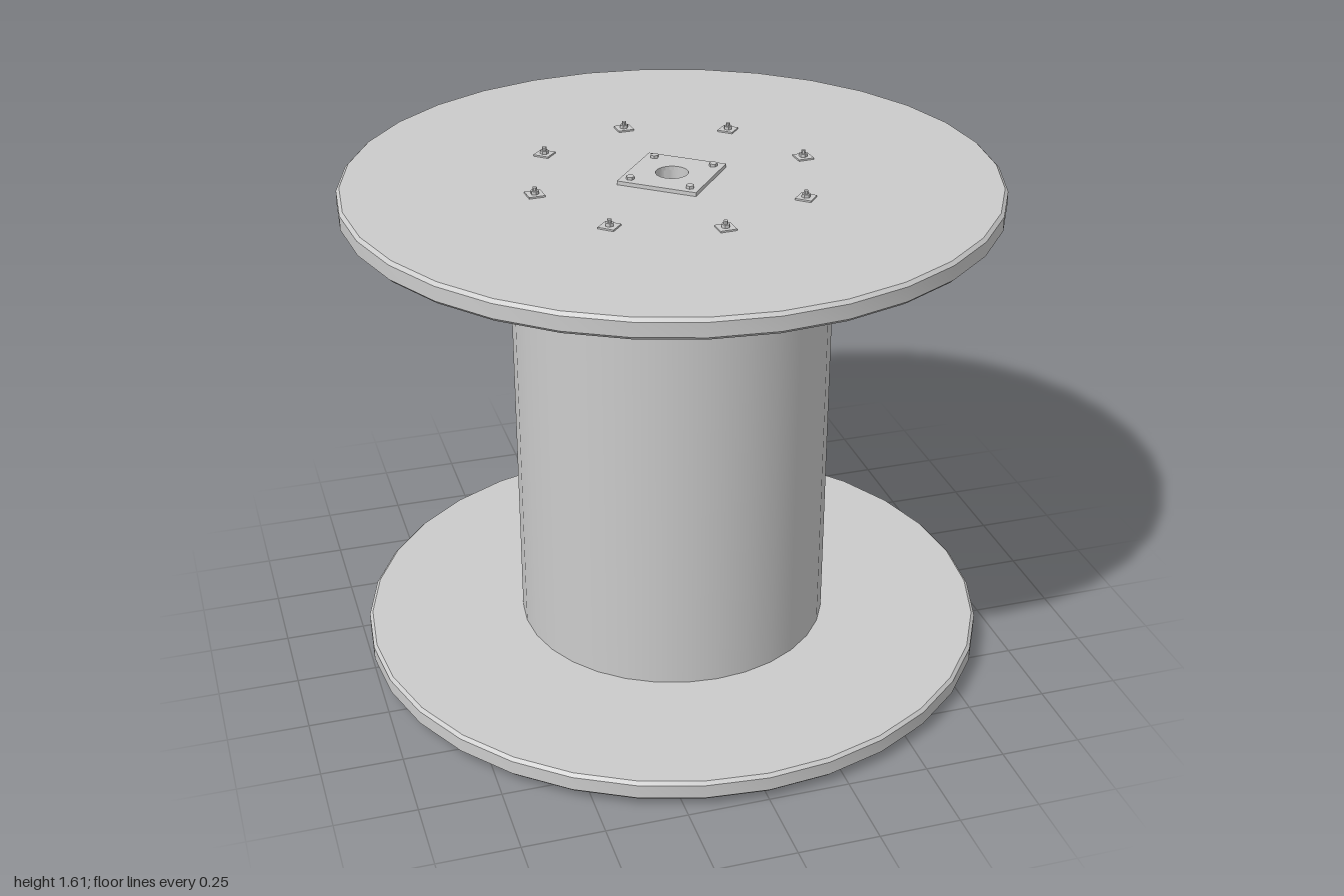
import * as THREE from 'three';
import { toCreasedNormals } from 'three/addons/utils/BufferGeometryUtils.js';

const R_FLANGE = 1, R_DRUM = 0.495, R_HOLE = 0.05;
const HEIGHT = 1.61, FLANGE_T = 0.064, OUTER = 0.78; // OUTER: flange face, from mid height
const SIDES = 32;
const deg = THREE.MathUtils.degToRad;

export function createModel() {
  const mat = new THREE.MeshStandardMaterial({ color: 0xcccccc });
  const open = new THREE.MeshStandardMaterial({ color: 0xcccccc, side: THREE.DoubleSide });

  function add(parent, name, geometry, x = 0, y = 0, z = 0, material = mat) {
    const mesh = new THREE.Mesh(geometry, material);
    mesh.name = name;
    mesh.position.set(x, y, z);
    parent.add(mesh);
    return mesh;
  }

  // Disc with a bore and a small chamfer round the rim
  const b = 0.01, inner = OUTER - FLANGE_T;
  const profile = [
    [R_HOLE, OUTER], [R_HOLE, inner], [R_FLANGE - b, inner], [R_FLANGE, inner + b],
    [R_FLANGE, OUTER - b], [R_FLANGE - b, OUTER], [R_HOLE, OUTER],
  ].map(([r, y]) => new THREE.Vector2(r, y));
  const flangeGeo = toCreasedNormals(new THREE.LatheGeometry(profile, SIDES), 0.5);

  // Square hub plate with a round bore, corners on the axes
  const plateT = 0.012, corner = 0.178;
  const square = new THREE.Shape([[1, 0], [0, 1], [-1, 0], [0, -1]]
    .map(([x, y]) => new THREE.Vector2(x * corner, y * corner)));
  square.holes.push(new THREE.Path().absarc(0, 0, R_HOLE, 0, Math.PI * 2, true));
  const plateGeo = new THREE.ExtrudeGeometry(square, { depth: plateT, bevelEnabled: false, curveSegments: 12 });
  plateGeo.rotateX(-Math.PI / 2);

  // Fasteners
  const washerGeo = new THREE.BoxGeometry(0.05, 0.005, 0.05);
  const nutGeo = toCreasedNormals(new THREE.CylinderGeometry(0.013, 0.013, 0.01, 6), 0.5);
  const studGeo = toCreasedNormals(new THREE.CylinderGeometry(0.007, 0.007, 0.024, 8), 0.9);

  function bolt(parent, name, radius, angle, base, withWasher) {
    const g = new THREE.Group();
    g.name = name;
    if (withWasher) add(g, 'squareWasher', washerGeo, 0, 0.0025, 0);
    add(g, 'nut', nutGeo, 0, withWasher ? 0.01 : 0.004, 0);
    if (withWasher) add(g, 'stud', studGeo, 0, 0.013, 0);
    g.position.set(Math.cos(angle) * radius, base, -Math.sin(angle) * radius);
    g.rotation.y = angle;
    parent.add(g);
  }

  // One end of the spool; turn is the sense in which its fittings are rotated
  function spoolEnd(name, turn) {
    const end = new THREE.Group();
    end.name = name;
    add(end, 'flange', flangeGeo);
    const plateAngle = turn * deg(6.5);
    add(end, 'hubPlate', plateGeo, 0, OUTER, 0).rotation.y = plateAngle;
    for (let i = 0; i < 4; i++) {
      bolt(end, 'plateBolt', 0.135, plateAngle + i * Math.PI / 2, OUTER + plateT, false);
    }
    for (let i = 0; i < 8; i++) {
      bolt(end, 'flangeBolt', 0.43, turn * deg(4) + i * Math.PI / 4, OUTER, true);
    }
    return end;
  }

  const spool = new THREE.Group();
  spool.name = 'cableSpool';
  add(spool, 'drum', new THREE.CylinderGeometry(R_DRUM, R_DRUM, inner * 2, SIDES, 1, true), 0, 0, 0, open);
  const bottom = spoolEnd('bottomEnd', -1);
  bottom.rotation.x = Math.PI;
  spool.add(spoolEnd('topEnd', 1), bottom);
  spool.position.y = HEIGHT / 2;

  const model = new THREE.Group();
  model.name = 'model';
  model.add(spool);
  return model;
}
